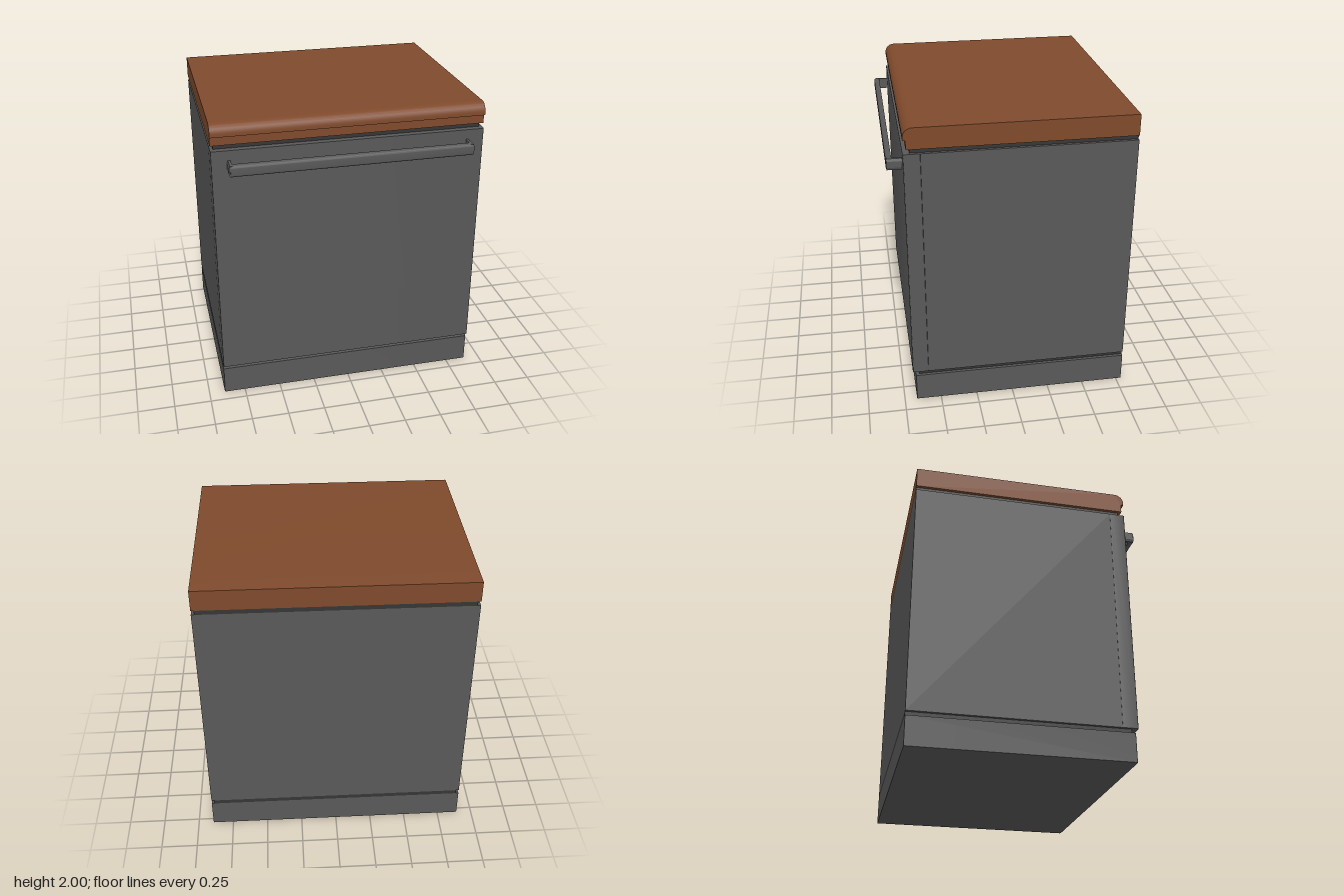
import * as THREE from 'three';
import { toCreasedNormals } from 'three/addons/utils/BufferGeometryUtils.js';

const W = 0.893;      // half width of the cabinet
const BACK = -0.787;

export function createModel() {
  const group = new THREE.Group();
  const mat = (name, color) => {
    const m = new THREE.MeshStandardMaterial({ color });
    m.name = name;
    return m;
  };
  const grey = mat('grey enamel', 0x595959);
  const dark = mat('dark recess', 0x363636);
  const wood = mat('brown worktop', 0x7f4a2c);

  const add = (name, geometry, material) => {
    const mesh = new THREE.Mesh(geometry, material);
    mesh.name = name;
    group.add(mesh);
    return mesh;
  };
  const box = (name, x0, x1, y0, y1, z0, z1, material) => {
    const g = new THREE.BoxGeometry(x1 - x0, y1 - y0, z1 - z0);
    g.translate((x0 + x1) / 2, (y0 + y1) / 2, (z0 + z1) / 2);
    return add(name, g, material);
  };
  const extrude = (shape, depth) => new THREE.ExtrudeGeometry(shape, { depth, bevelEnabled: false, curveSegments: 6 });

  // Upright slab whose front (and optionally back) vertical edges are rounded
  const slab = (name, y0, y1, z0, z1, rFront, rBack) => {
    const s = new THREE.Shape();
    s.moveTo(-W + rFront, -z1);
    s.lineTo(W - rFront, -z1);
    s.quadraticCurveTo(W, -z1, W, -z1 + rFront);
    s.lineTo(W, -z0 - rBack);
    if (rBack) s.quadraticCurveTo(W, -z0, W - rBack, -z0);
    s.lineTo(-W + rBack, -z0);
    if (rBack) s.quadraticCurveTo(-W, -z0, -W, -z0 - rBack);
    s.lineTo(-W, -z1 + rFront);
    s.quadraticCurveTo(-W, -z1, -W + rFront, -z1);
    const g = extrude(s, y1 - y0).rotateX(-Math.PI / 2).translate(0, y0, 0);
    return add(name, toCreasedNormals(g, 0.6), grey);
  };

  // Side profile, drawn in (-z, y), swept across the width
  const sweep = (name, shape, halfWidth, material) => {
    const g = extrude(shape, halfWidth * 2).rotateY(Math.PI / 2).translate(-halfWidth, 0, 0);
    return add(name, toCreasedNormals(g, 0.6), material);
  };

  // Cabinet
  slab('plinth', 0, 0.195, BACK, 0.667, 0.01, 0);
  box('lowerRecess', -0.873, 0.873, 0.195, 0.225, BACK, 0.645, dark);
  box('body', -W, W, 0.225, 1.83, BACK, 0.58, grey);
  box('upperRecess', -0.873, 0.873, 1.83, 1.86, BACK, 0.645, dark);
  slab('door', 0.225, 1.83, 0.58, 0.687, 0.012, 0.008);

  // Worktop with a rounded front nose and a step beneath it
  const top = new THREE.Shape();
  top.moveTo(-BACK, 1.86);
  top.lineTo(-BACK, 2);
  top.lineTo(-0.622, 2);
  top.absarc(-0.622, 1.937, 0.063, Math.PI / 2, Math.PI, false);
  top.lineTo(-0.685, 1.92);
  top.lineTo(-0.667, 1.92);
  top.lineTo(-0.667, 1.86);
  sweep('worktop', top, W, wood);

  // Handle bar with softened front edges
  const bar = new THREE.Shape();
  bar.moveTo(-0.75, 1.69);
  bar.lineTo(-0.75, 1.765);
  bar.lineTo(-0.776, 1.765);
  bar.quadraticCurveTo(-0.787, 1.76, -0.787, 1.748);
  bar.lineTo(-0.787, 1.707);
  bar.quadraticCurveTo(-0.787, 1.695, -0.776, 1.69);
  sweep('handleBar', bar, 0.785, grey);

  // Handle brackets with chamfered outer edges
  for (const side of [-1, 1]) {
    const points = [[0.772, 1.69], [0.788, 1.69], [0.795, 1.707], [0.795, 1.748], [0.788, 1.765], [0.772, 1.765]];
    const s = new THREE.Shape(points.map(([x, y]) => new THREE.Vector2(side * x, y)));
    add(side > 0 ? 'handleBracketLeft' : 'handleBracketRight', extrude(s, 0.1).translate(0, 0, 0.682), grey);
  }
  return group;
}
